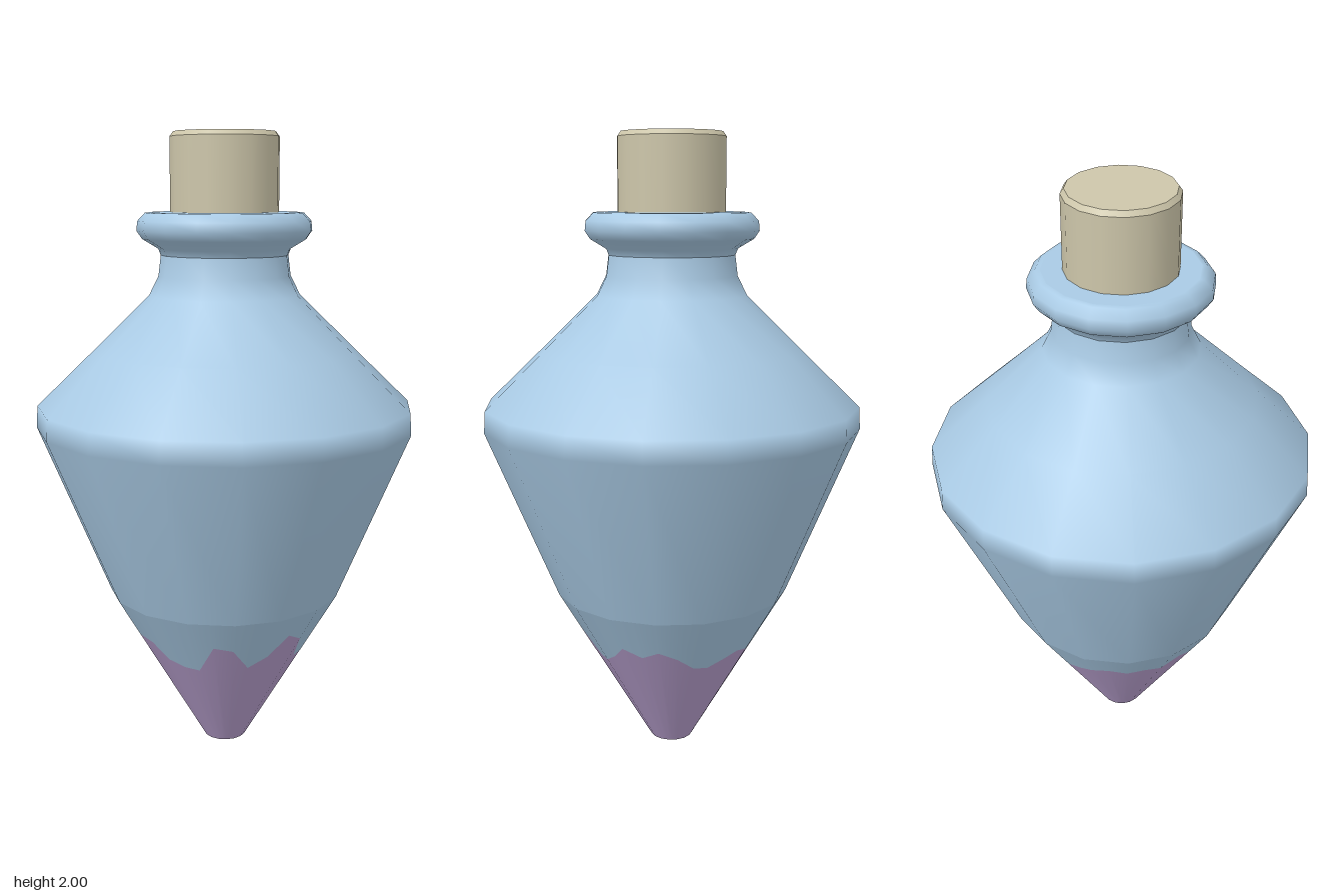
import * as THREE from 'three';

const SIDES = 16;
const NECK_BASE = 0.53; // height where the pointed base meets the body
const FOOT_R = 0.07, BASE_R = 0.38;

const lathe = (pts) =>
  new THREE.LatheGeometry(pts.map(([r, y]) => new THREE.Vector2(r, y)), SIDES);

// Point on the sixteen-sided cone of the base, at half-side step i and height y
function basePoint(i, y) {
  const a = (i * Math.PI) / SIDES;
  let r = FOOT_R + (BASE_R - FOOT_R) * (y / NECK_BASE);
  if (i % 2) r *= Math.cos(Math.PI / SIDES); // middle of a flat side
  return [r * Math.sin(a), y, r * Math.cos(a)];
}

// Band of the base between two height functions
function baseBand(low, high) {
  const n = SIDES * 2, pos = [], nor = [], idx = [];
  const v = new THREE.Vector3();
  for (let i = 0; i <= n; i++) {
    const a = (i * Math.PI) / SIDES;
    v.set(Math.sin(a), -(BASE_R - FOOT_R) / NECK_BASE, Math.cos(a)).normalize();
    pos.push(...basePoint(i, low(i % n)), ...basePoint(i, high(i % n)));
    nor.push(v.x, v.y, v.z, v.x, v.y, v.z);
    if (i < n) {
      const k = i * 2;
      idx.push(k, k + 2, k + 1, k + 2, k + 3, k + 1);
    }
  }
  const g = new THREE.BufferGeometry();
  g.setAttribute('position', new THREE.Float32BufferAttribute(pos, 3));
  g.setAttribute('normal', new THREE.Float32BufferAttribute(nor, 3));
  g.setIndex(idx);
  return g;
}

export function createModel() {
  const group = new THREE.Group();
  group.name = 'potionBottle';

  const mat = (name, color) => {
    const m = new THREE.MeshStandardMaterial({ color });
    m.name = name;
    return m;
  };
  const glass = mat('paleBlueGlass', 0xa9cae4);
  const liquid = mat('lilacLiquid', 0xb79fcd);
  const cork = mat('cork', 0xcdc6aa);

  const add = (name, geometry, material) => {
    const mesh = new THREE.Mesh(geometry, material);
    mesh.name = name;
    group.add(mesh);
    return mesh;
  };

  // Ragged liquid line around the base, starting at the front
  const line = [
    0.35, 0.33, 0.33, 0.43, 0.42, 0.34, 0.38, 0.45,
    0.42, 0.33, 0.33, 0.36, 0.41, 0.38, 0.41, 0.38,
    0.34, 0.33, 0.36, 0.37, 0.36, 0.36, 0.35, 0.37,
    0.41, 0.42, 0.41, 0.41, 0.40, 0.44, 0.41, 0.40,
  ];
  add('liquidBase', baseBand(() => 0, (i) => line[i]), liquid);
  add('glassBase', baseBand((i) => line[i], () => NECK_BASE), glass);
  add('foot', lathe([[0, 0], [FOOT_R, 0]]), liquid);

  // Body, shoulder and neck
  add('body', lathe([
    [BASE_R, NECK_BASE], [0.606, 1.08], [0.602, 1.15], [0.42, 1.325],
    [0.24, 1.5], [0.21, 1.56], [0.2, 1.64],
  ]), glass);

  // Rolled lip around the mouth
  add('lip', lathe([
    [0.2, 1.62], [0.21, 1.645], [0.26, 1.675], [0.277, 1.7],
    [0.274, 1.73], [0.25, 1.755], [0.235, 1.757],
  ]), glass);
  add('mouth', lathe([[0.235, 1.757], [0.15, 1.757]]), glass);

  // Stopper with a narrow bevel
  add('stopperSide', lathe([[0.171, 1.74], [0.171, 1.985]]), cork);
  add('stopperBevel', lathe([[0.171, 1.985], [0.16, 2]]), cork);
  add('stopperTop', lathe([[0.16, 2], [0, 2]]), cork);

  return group;
}
